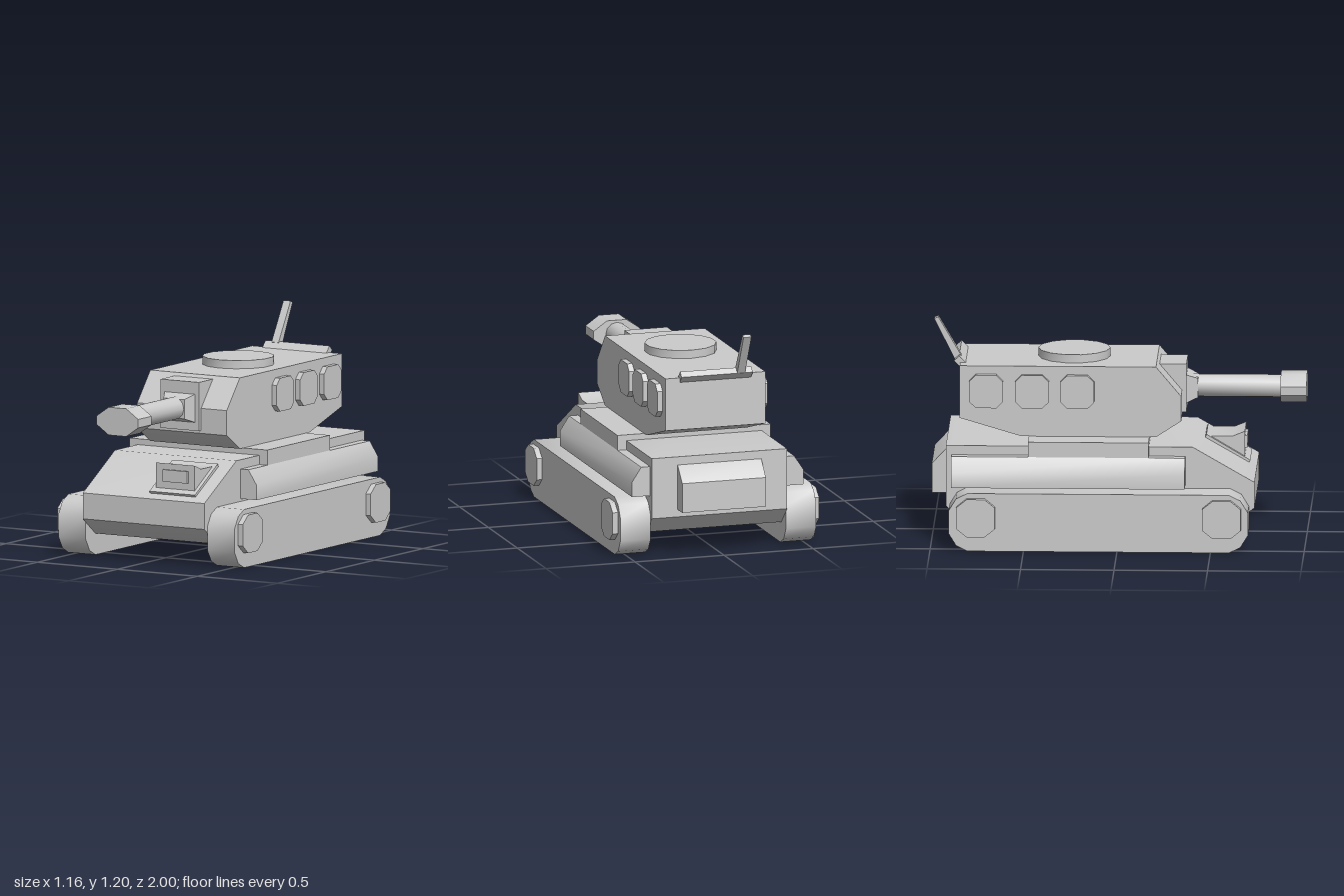
import * as THREE from 'three';
import { toCreasedNormals } from 'three/addons/utils/BufferGeometryUtils.js';

const grey = new THREE.MeshStandardMaterial({ color: 0xcccccc });

function add(group, name, geometry, crease = 0.7) {
  const mesh = new THREE.Mesh(toCreasedNormals(geometry, crease), grey);
  mesh.name = name;
  group.add(mesh);
  return mesh;
}

// Side profile of [z, y] points, extruded between two x positions
function slab(points, x0, x1) {
  const shape = new THREE.Shape(points.map(([z, y]) => new THREE.Vector2(z, y)));
  const g = new THREE.ExtrudeGeometry(shape, { depth: x1 - x0, bevelEnabled: false });
  return g.rotateY(-Math.PI / 2).translate(x1, 0, 0);
}

function box(x0, x1, y0, y1, z0, z1) {
  return new THREE.BoxGeometry(x1 - x0, y1 - y0, z1 - z0)
    .translate((x0 + x1) / 2, (y0 + y1) / 2, (z0 + z1) / 2);
}

// Rectangle with cut corners, centred on (a, b)
function cutRect(a, b, ha, hb, ca, cb) {
  return [
    [a - ha + ca, b - hb], [a + ha - ca, b - hb], [a + ha, b - hb + cb], [a + ha, b + hb - cb],
    [a + ha - ca, b + hb], [a - ha + ca, b + hb], [a - ha, b + hb - cb], [a - ha, b - hb + cb],
  ];
}

export function createModel() {
  const tank = new THREE.Group();
  tank.name = 'tank';

  // Hull
  const hull = new THREE.Group();
  hull.name = 'hull';
  tank.add(hull);
  add(hull, 'hullBody', slab([
    [0.6, 0.115], [0.73, 0.21], [0.73, 0.35], [0.4, 0.54],
    [-0.92, 0.54], [-0.92, 0.21], [-0.82, 0.115],
  ], -0.38, 0.38));
  add(hull, 'turretDeck', box(-0.43, 0.43, 0.49, 0.572, -0.48, 0.165));
  add(hull, 'rearBox', slab([
    [-0.91, 0.25], [-0.91, 0.5], [-0.92, 0.495], [-1, 0.41], [-1, 0.25],
  ], -0.235, 0.235));

  // Tracks, wheel hubs and side skirts
  const trackProfile = [
    [0.6, 0], [0.66, 0.03], [0.7, 0.095], [0.7, 0.22], [0.66, 0.285], [0.6, 0.315],
    [-0.8, 0.315], [-0.86, 0.285], [-0.9, 0.22], [-0.9, 0.095], [-0.86, 0.03], [-0.8, 0],
  ];
  for (const side of [1, -1]) {
    const name = side > 0 ? 'left' : 'right';
    const span = (a, b) => (side > 0 ? [a, b] : [-b, -a]);
    add(hull, name + 'Track', slab(trackProfile, ...span(0.38, 0.55)));
    for (const z of [0.56, -0.755]) {
      add(hull, name + 'WheelHub', slab(cutRect(z, 0.185, 0.103, 0.103, 0.055, 0.045), ...span(0.54, 0.58)));
    }
    const skirt = new THREE.Shape([[0.37, 0.33], [0.482, 0.33], [0.482, 0.41], [0.43, 0.49], [0.37, 0.49]]
      .map(([x, y]) => new THREE.Vector2(side * x, y)));
    add(hull, name + 'Skirt', new THREE.ExtrudeGeometry(skirt, { depth: 1.25, bevelEnabled: false })
      .translate(0, 0, -0.89));
  }

  // Driver's port on the sloping front plate
  const port = new THREE.Group();
  port.name = 'driverPort';
  hull.add(port);
  add(port, 'portPlate', slab([[0.685, 0.365], [0.695, 0.385], [0.46, 0.525], [0.45, 0.5]], 0.015, 0.3));
  add(port, 'portHousing', slab([
    [0.665, 0.39], [0.665, 0.538], [0.6, 0.512], [0.47, 0.512],
  ], 0.037, 0.28));
  add(port, 'portShutter', box(0.085, 0.24, 0.44, 0.505, 0.64, 0.677));

  // Turret
  const turret = new THREE.Group();
  turret.name = 'turret';
  tank.add(turret);
  add(turret, 'turretBody', slab([
    [0.2, 0.572], [0.335, 0.66], [0.335, 0.795], [0.2, 0.955],
    [-0.85, 0.955], [-0.85, 0.67], [-0.52, 0.572],
  ], -0.28, 0.28));
  add(turret, 'roofHatch', new THREE.CylinderGeometry(0.193, 0.193, 0.055, 14).translate(0, 0.972, -0.245));
  for (const z of [-0.22, -0.462, -0.708]) {
    const pad = cutRect(z, 0.82, 0.09, 0.09, 0.035, 0.035);
    add(turret, 'leftSidePad', slab(pad, 0.27, 0.31));
    add(turret, 'rightSidePad', slab(pad, -0.31, -0.27));
  }

  // Gun
  const gun = new THREE.Group();
  gun.name = 'gun';
  turret.add(gun);
  add(gun, 'mantlet', box(-0.12, 0.12, 0.675, 0.938, 0.2, 0.358));
  const r = Math.SQRT2;
  add(gun, 'barrelCollar', new THREE.CylinderGeometry(0.065 * r, 0.095 * r, 0.06, 4)
    .rotateY(Math.PI / 4).rotateX(Math.PI / 2).scale(1, 0.8, 1).translate(0, 0.796, 0.388));
  add(gun, 'barrel', new THREE.CylinderGeometry(0.062, 0.062, 0.5, 12)
    .rotateX(Math.PI / 2).translate(0, 0.797, 0.63));
  const muzzle = new THREE.Shape(cutRect(0, 0.796, 0.13, 0.075, 0.075, 0.052)
    .map(([x, y]) => new THREE.Vector2(x, y)));
  add(gun, 'muzzleBrake', new THREE.ExtrudeGeometry(muzzle, { depth: 0.14, bevelEnabled: false })
    .translate(0, 0, 0.86));

  // Antenna and its mounting bar at the rear edge of the roof
  add(turret, 'antennaBar', slab([[-0.82, 0.955], [-0.85, 0.93], [-0.882, 0.965], [-0.855, 0.99]], -0.2, 0.2));
  add(turret, 'antenna', slab([[-0.845, 0.985], [-0.88, 0.965], [-0.99, 1.185], [-0.968, 1.195]], -0.157, -0.113));

  return tank;
}
